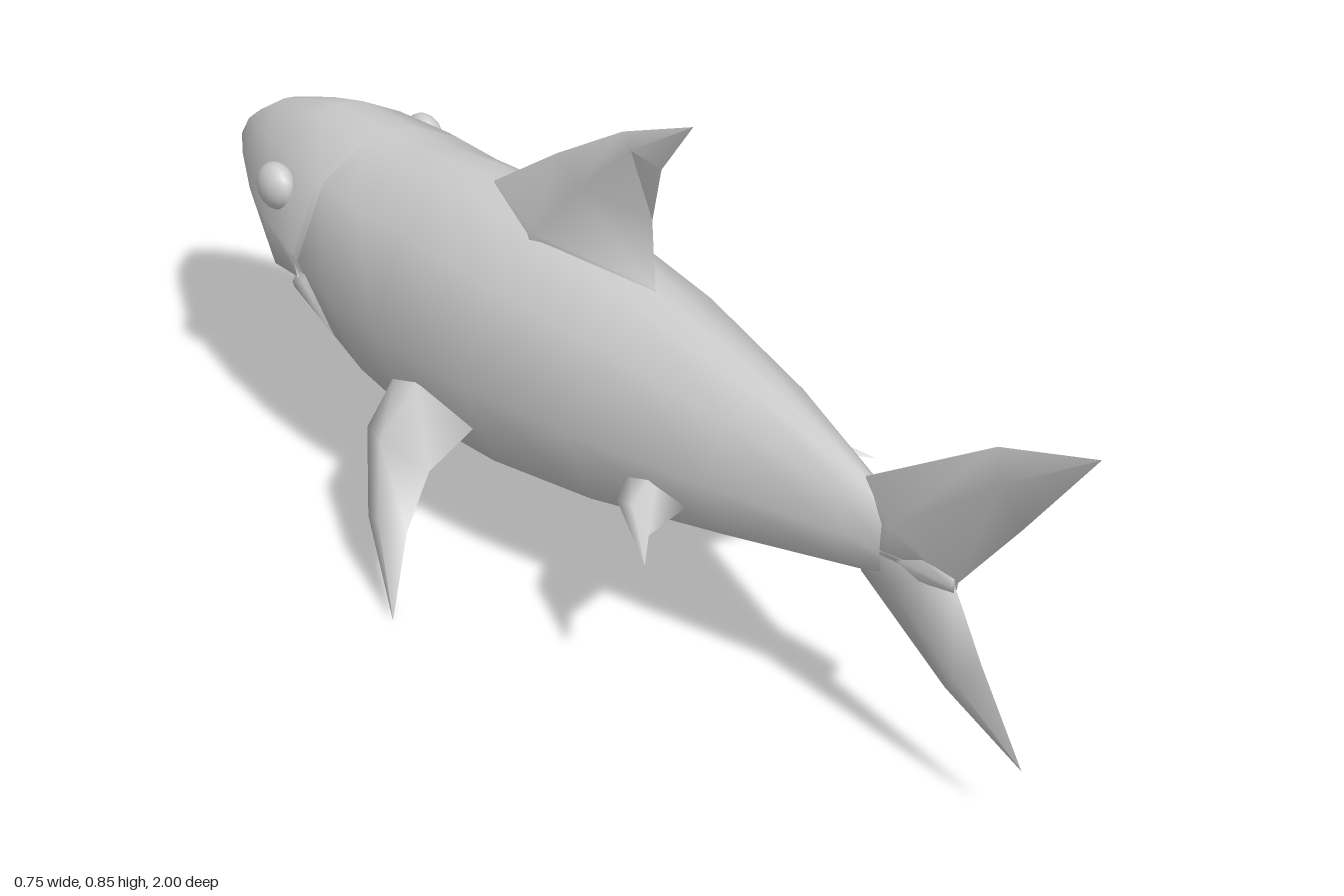
import * as THREE from 'three';

const material = new THREE.MeshStandardMaterial({ color: 0xcccccc });

// Skin closed rings of [x, y, z] points, cap both ends, and face outward
function loft(name, rings) {
  const n = rings[0].length, pos = rings.flat(2), tris = [];
  for (let r = 0; r < rings.length - 1; r++) {
    for (let i = 0; i < n; i++) {
      const a = r * n + i, b = r * n + (i + 1) % n;
      tris.push([a, b, b + n], [a, b + n, a + n]);
    }
  }
  const last = (rings.length - 1) * n;
  for (let i = 1; i < n - 1; i++) {
    tris.push([0, i + 1, i], [last, last + i, last + i + 1]);
  }
  const p = (i) => new THREE.Vector3().fromArray(pos, i * 3);
  const volume = tris.reduce((s, [a, b, c]) => s + p(a).dot(p(b).cross(p(c))), 0);
  if (volume < 0) tris.forEach((t) => t.reverse());
  const geometry = new THREE.BufferGeometry();
  geometry.setAttribute('position', new THREE.Float32BufferAttribute(pos, 3));
  geometry.setIndex(tris.flat());
  geometry.computeVertexNormals();
  const mesh = new THREE.Mesh(geometry, material);
  mesh.name = name;
  return mesh;
}

// Mirror a half outline (first and last points on the centre line)
const mirrorRing = (half) => [
  ...half,
  ...half.slice(1, -1).reverse().map(([x, y, z]) => [-x, y, z]),
];

// Body ring: z, top, widest height, bottom, half width, lower corner x and y
function bodyRing([z, top, mid, bottom, w, lx = 0.7, ly = 0.72]) {
  const up = top - mid, down = mid - bottom;
  return mirrorRing([
    [0, top, z], [w * 0.25, mid + up * 0.96, z], [w * 0.7, mid + up * 0.7, z],
    [w, mid, z], [w * lx, mid - down * ly, z], [0, bottom, z],
  ]);
}

// Lower jaw ring: z, lip height, bottom, half width
function jawRing([z, lip, bottom, w]) {
  return mirrorRing([
    [0, lip - 0.03, z], [w * 0.82, lip - 0.025, z], [w * 0.95, lip, z],
    [w, lip - (lip - bottom) * 0.1, z],
    [w * 0.72, bottom + (lip - bottom) * 0.3, z], [0, bottom, z],
  ]);
}

// Fin: [leading point, trailing point, half thickness] sections, diamond-shaped
function fin(name, normal, sections, side = 1) {
  const n = new THREE.Vector3(...normal).normalize();
  return loft(name, sections.map(([lead, trail, t]) => {
    const a = new THREE.Vector3(...lead), b = new THREE.Vector3(...trail);
    const mid = a.clone().lerp(b, 0.42);
    return [a, mid.clone().addScaledVector(n, t), b, mid.clone().addScaledVector(n, -t)]
      .map((v) => [v.x * side, v.y, v.z]);
  }));
}

export function createModel() {
  const model = new THREE.Group();
  model.name = 'shark';

  // Body with snout; the repeated ring starts the step up into the mouth
  model.add(loft('body', [
    [0.76, 0.36, 0.348, 0.335, 0.006],
    [0.66, 0.4, 0.352, 0.31, 0.024],
    [0.57, 0.44, 0.36, 0.28, 0.046],
    [0.36, 0.5, 0.36, 0.228, 0.11],
    [0.1, 0.547, 0.355, 0.165, 0.172],
    [-0.12, 0.57, 0.35, 0.13, 0.203],
    [-0.34, 0.583, 0.35, 0.12, 0.215],
    [-0.48, 0.567, 0.36, 0.142, 0.21],
    [-0.58, 0.567, 0.385, 0.17, 0.198],
    [-0.58, 0.567, 0.385, 0.17, 0.198],
    [-0.6, 0.567, 0.39, 0.345, 0.195, 0.96, 1],
    [-0.72, 0.565, 0.405, 0.31, 0.17, 0.9, 1],
    [-0.8, 0.545, 0.42, 0.32, 0.145, 0.8, 0.9],
    [-0.9, 0.513, 0.435, 0.347, 0.093, 0.72, 0.8],
    [-0.96, 0.475, 0.44, 0.395, 0.055],
    [-1, 0.448, 0.444, 0.44, 0.004],
  ].map(bodyRing)));

  // Lower jaw
  model.add(loft('lowerJaw', [
    [-0.57, 0.37, 0.168, 0.197],
    [-0.62, 0.34, 0.192, 0.184],
    [-0.66, 0.297, 0.215, 0.155],
    [-0.69, 0.275, 0.235, 0.115],
    [-0.71, 0.262, 0.25, 0.07],
  ].map(jawRing)));

  // Teeth in two arcs
  const teeth = new THREE.Group();
  teeth.name = 'teeth';
  const toothGeometry = new THREE.ConeGeometry(0.009, 0.04, 5);
  for (let i = -5; i <= 5; i++) {
    const a = i * 0.24;
    const upper = new THREE.Mesh(toothGeometry, material);
    upper.name = 'upperTooth';
    const zu = -0.6 - 0.13 * Math.cos(a);
    upper.position.set(0.15 * Math.sin(a), 0.31 + (zu + 0.72) * 0.3, zu);
    upper.rotation.x = Math.PI;
    teeth.add(upper);
    if (i === 5) continue;
    const b = a + 0.12;
    const lower = new THREE.Mesh(toothGeometry, material);
    lower.name = 'lowerTooth';
    const zl = -0.585 - 0.115 * Math.cos(b);
    lower.position.set(0.14 * Math.sin(b), 0.27 + (zl + 0.7) * 0.6, zl);
    teeth.add(lower);
  }
  model.add(teeth);

  // Dorsal fin
  model.add(fin('dorsalFin', [1, 0, 0], [
    [[0, 0.53, -0.36], [0, 0.5, 0.13], 0.075],
    [[0, 0.583, -0.29], [0, 0.55, 0.108], 0.052],
    [[0, 0.69, -0.13], [0, 0.663, 0.1], 0.034],
    [[0, 0.785, 0.03], [0, 0.755, 0.12], 0.016],
    [[0, 0.85, 0.19], [0, 0.85, 0.19], 0],
  ]));

  // Tail lobes
  model.add(fin('upperTailLobe', [1, 0, 0], [
    [[0, 0.36, 0.56], [0, 0.34, 0.75], 0.03],
    [[0, 0.44, 0.575], [0, 0.348, 0.76], 0.026],
    [[0, 0.604, 0.82], [0, 0.5, 0.877], 0.013],
    [[0, 0.668, 1], [0, 0.668, 1], 0],
  ]));
  model.add(fin('lowerTailLobe', [1, 0, 0], [
    [[0, 0.36, 0.56], [0, 0.355, 0.75], 0.03],
    [[0, 0.278, 0.575], [0, 0.348, 0.76], 0.024],
    [[0, 0.17, 0.754], [0, 0.246, 0.82], 0.012],
    [[0, 0.112, 0.91], [0, 0.112, 0.91], 0],
  ]));

  // Paired fins and eyes
  const eyeGeometry = new THREE.SphereGeometry(0.042, 14, 10);
  for (const [label, side] of [['left', 1], ['right', -1]]) {
    model.add(fin(label + 'PectoralFin', [0.8, 0.55, 0], [
      [[0.16, 0.27, -0.35], [0.15, 0.26, -0.14], 0.04],
      [[0.255, 0.21, -0.31], [0.245, 0.195, -0.155], 0.03],
      [[0.325, 0.115, -0.215], [0.31, 0.12, -0.13], 0.015],
      [[0.375, 0.002, -0.085], [0.375, 0.002, -0.085], 0],
    ], side));
    model.add(fin(label + 'PelvicFin', [-0.25, 0.95, 0], [
      [[0.1, 0.315, 0.17], [0.09, 0.295, 0.3], 0.026],
      [[0.18, 0.305, 0.235], [0.185, 0.285, 0.315], 0.015],
      [[0.235, 0.278, 0.365], [0.235, 0.278, 0.365], 0],
    ], side));
    const eye = new THREE.Mesh(eyeGeometry, material);
    eye.name = label + 'Eye';
    eye.scale.x = 0.72;
    eye.position.set(side * 0.154, 0.466, -0.7);
    model.add(eye);
  }
  return model;
}
